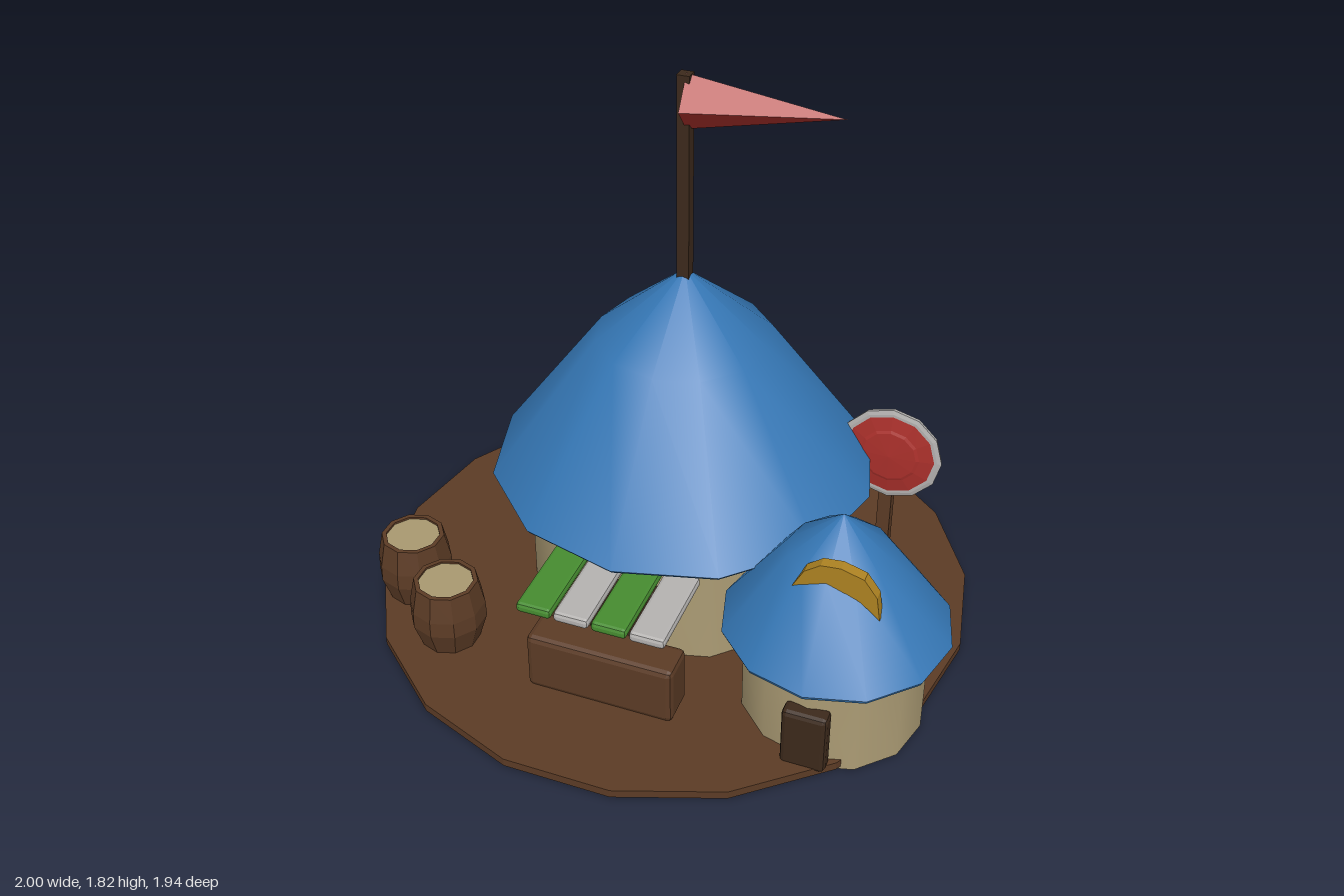
import * as THREE from 'three';
import { toCreasedNormals } from 'three/addons/utils/BufferGeometryUtils.js';
import { RoundedBoxGeometry } from 'three/addons/geometries/RoundedBoxGeometry.js';

const mat = (color, flatShading = false) => new THREE.MeshStandardMaterial({ color, flatShading });
const blue = mat(0x3577b5), stone = mat(0xab9b74), earth = mat(0x5b3b25, true);
const wood = mat(0x5b3b25, true), darkWood = mat(0x3c291b, true), lidWood = mat(0xa89870, true);
const red = mat(0xab302b, true), white = mat(0xb4b2b0, true), green = mat(0x468c30, true), gold = mat(0xae8322, true);

export function createModel() {
  const model = new THREE.Group();

  const add = (name, geometry, material, x = 0, y = 0, z = 0, parent = model) => {
    const mesh = new THREE.Mesh(geometry, material);
    mesh.name = name;
    mesh.position.set(x, y, z);
    parent.add(mesh);
    return mesh;
  };
  const lathe = (points, sides, crease = 0.9) =>
    toCreasedNormals(new THREE.LatheGeometry(points.map(p => new THREE.Vector2(...p)), sides), crease);
  const box = (w, h, d, r) => new RoundedBoxGeometry(w, h, d, 1, r);

  // Ground disc
  const ground = add('ground', new THREE.CylinderGeometry(0.985, 0.985, 0.027, 18), earth, -0.015, 0.0245, 0);
  ground.rotation.y = Math.PI / 2;

  // Round huts: wall plus a two-pitch roof with a flat underside
  const hut = (name, x, z, wallR, roofR, eave, apex) => {
    const group = new THREE.Group();
    group.name = name;
    group.position.set(x, 0, z);
    model.add(group);
    const bottom = name === 'mainHut' ? 0.013 : 0;
    add('wall', lathe([[0, bottom], [wallR, bottom], [wallR, eave + 0.01], [0, eave + 0.01]], 12), stone, 0, 0, 0, group);
    const mid = eave + (apex - eave) * 0.67;
    add('roof', lathe([[0, eave - 0.012], [roofR * 0.985, eave - 0.012], [roofR, eave],
      [roofR * 0.45, mid], [0, apex]], 12), blue, 0, 0, 0, group);
  };
  hut('mainHut', -0.015, -0.095, 0.508, 0.63, 0.467, 1.175);
  hut('smallHut', 0.645, 0.36, 0.284, 0.352, 0.345, 0.743);

  // Pole and pyramid pennant
  add('flagPole', new THREE.BoxGeometry(0.04, 0.75, 0.04), darkWood, -0.015, 1.44, -0.093);
  const pennant = new THREE.Group();
  pennant.name = 'pennant';
  pennant.position.set(-0.012, 1.729, -0.093);
  pennant.rotation.y = 0.09;
  model.add(pennant);
  const cone = add('pennantCone', new THREE.ConeGeometry(0.087, 0.47, 4), red, 0.235, 0, 0, pennant);
  cone.rotation.z = -Math.PI / 2;

  // Shop front: counter, window and striped awning
  add('counter', box(0.48, 0.2, 0.13, 0.018), wood, -0.012, 0.135, 0.595);
  add('window', box(0.25, 0.24, 0.08, 0.015), darkWood, -0.015, 0.2, 0.4);
  for (let i = 0; i < 4; i++) {
    add('awningSlat', box(0.113, 0.034, 0.31, 0.012), i % 2 ? white : green, -0.194 + i * 0.121, 0.395, 0.555);
  }

  // Small hut door and roof crescent
  add('door', box(0.14, 0.21, 0.06, 0.015), darkWood, 0.645, 0.132, 0.652);
  const arc = new THREE.Shape([[0.545, 0.572], [0.578, 0.635], [0.625, 0.67], [0.685, 0.676], [0.755, 0.655],
    [0.795, 0.6], [0.807, 0.52], [0.75, 0.57], [0.705, 0.59], [0.65, 0.597], [0.6, 0.588]]
    .map(p => new THREE.Vector2(...p)));
  add('roofCrescent', new THREE.ExtrudeGeometry(arc, { depth: 0.036, bevelEnabled: false }), gold, 0, 0, 0.483);

  // Round target on a post
  add('targetPost', new THREE.BoxGeometry(0.045, 0.45, 0.045), wood, 0.613, 0.245, -0.358);
  const target = new THREE.Group();
  target.name = 'target';
  target.position.set(0.625, 0.495, -0.31);
  target.rotation.x = Math.PI / 2;
  model.add(target);
  add('targetDisc', lathe([[0, -0.022], [0.14, -0.018], [0.168, -0.01], [0.172, 0.006], [0.158, 0.01], [0, 0.01]], 12, 0.5),
    white, 0, 0, 0, target);
  add('targetFace', lathe([[0.16, 0.008], [0.1, 0.018], [0.09, 0.022], [0, 0.027]], 12, 0.2), red, 0, 0, 0, target);

  // Barrels with recessed lids
  for (const [x, z] of [[-0.79, 0.375], [-0.583, 0.54]]) {
    const barrel = new THREE.Group();
    barrel.name = 'barrel';
    barrel.position.set(x, 0.035, z);
    model.add(barrel);
    add('staves', lathe([[0, 0], [0.095, 0], [0.123, 0.09], [0.121, 0.145], [0.103, 0.231], [0.088, 0.231], [0.088, 0.215]], 10, 0.1),
      wood, 0, 0, 0, barrel);
    add('lid', new THREE.CylinderGeometry(0.09, 0.09, 0.02, 10), lidWood, 0, 0.214, 0, barrel);
  }

  return model;
}
